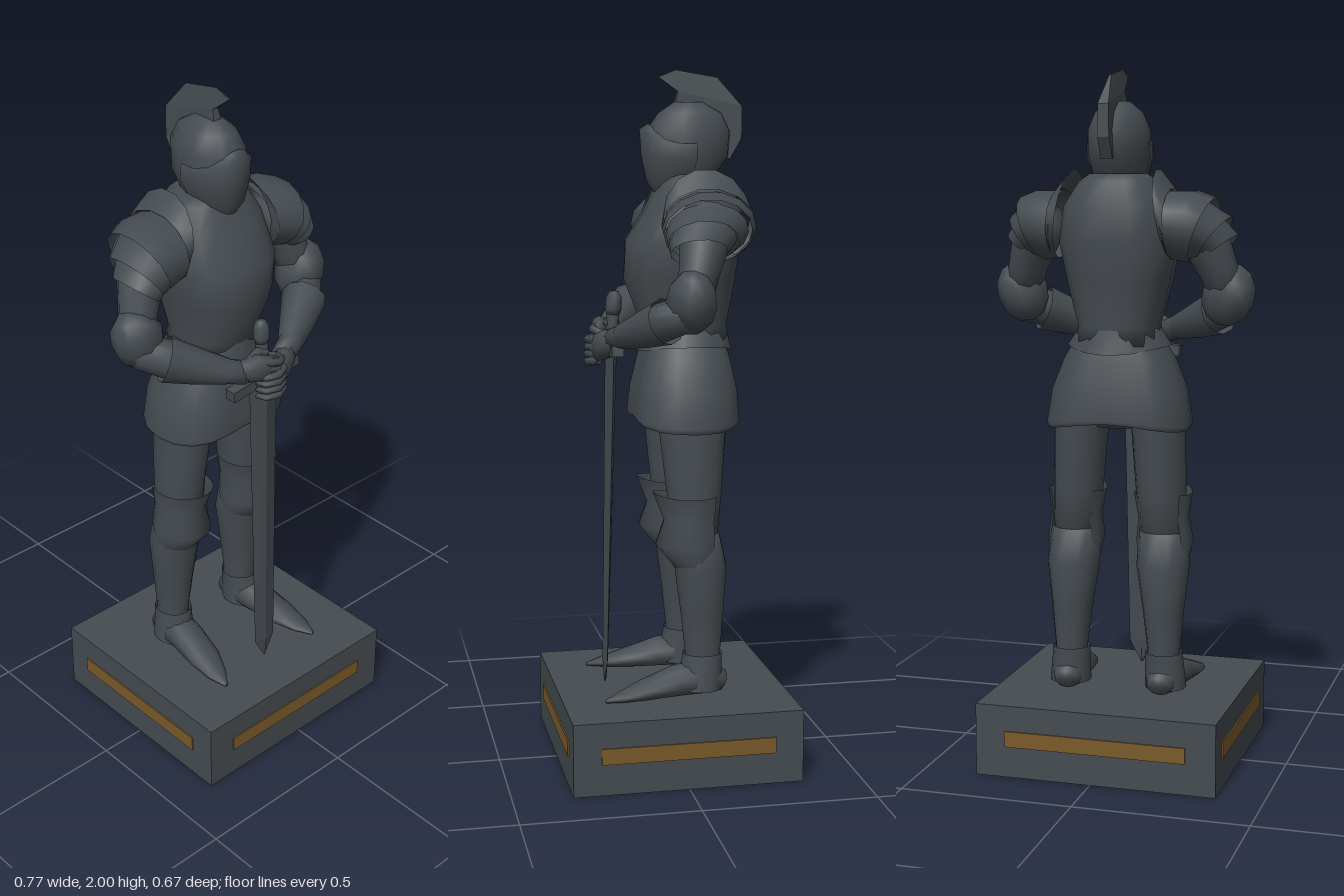
import * as THREE from 'three';

const steel = new THREE.MeshStandardMaterial({ color: 0x454b50, side: THREE.DoubleSide });
steel.name = 'dark steel';
const bronze = new THREE.MeshStandardMaterial({ color: 0x7a5a2a });
bronze.name = 'dull bronze';

const V = (x, y, z) => new THREE.Vector3(x, y, z);

function add(parent, name, geometry, material = steel) {
  const mesh = new THREE.Mesh(geometry, material);
  mesh.name = name;
  parent.add(mesh);
  return mesh;
}

// Skin a list of point rings; closed rings wrap around, caps close the ends.
function skin(rings, { closed = true, caps = true, flat = false } = {}) {
  const n = rings[0].length, pos = [], idx = [];
  rings.flat().forEach(p => pos.push(p.x, p.y, p.z));
  for (let j = 0; j < rings.length - 1; j++)
    for (let i = 0; i < (closed ? n : n - 1); i++) {
      const a = j * n + i, b = j * n + (i + 1) % n;
      idx.push(a, b, b + n, a, b + n, a + n);
    }
  if (closed && caps) {
    [rings[0], rings[rings.length - 1]].forEach((ring, end) => {
      const c = ring.reduce((s, p) => s.add(p), V(0, 0, 0)).divideScalar(n);
      const ci = pos.length / 3, o = end ? (rings.length - 1) * n : 0;
      pos.push(c.x, c.y, c.z);
      for (let i = 0; i < n; i++) {
        const a = o + i, b = o + (i + 1) % n;
        end ? idx.push(ci, a, b) : idx.push(ci, b, a);
      }
    });
  }
  let g = new THREE.BufferGeometry();
  g.setAttribute('position', new THREE.Float32BufferAttribute(pos, 3));
  g.setIndex(idx);
  if (flat) g = g.toNonIndexed();
  g.computeVertexNormals();
  return g;
}

// Upright loft, bottom to top: [y, cx, cz, halfWidth, front, back, frontLift]
function loft(sections, { n = 14, arc = Math.PI * 2, power = 1, notch = 0, ...rest } = {}) {
  const closed = arc > 6.28;
  const sp = v => Math.sign(v) * Math.abs(v) ** power;
  const rings = sections.map(([y, cx, cz, rx, rf, rb, lift = 0]) =>
    Array.from({ length: closed ? n : n + 1 }, (_, i) => {
      const a = closed ? (i / n) * arc : (i / n - 0.5) * arc;
      const c = Math.cos(a), s = Math.sin(a);
      return V(cx + rx * sp(s), y + lift * Math.abs(c) ** 3,
        cz + (c > 0 ? rf : rb) * sp(c) * (1 - notch * c ** 10));
    }));
  return skin(rings, { closed, ...rest });
}

// Tube of varying oval section along stations [x, y, z, radius, sideRadius]
function limb(st, { n = 10, ref = V(0, 1, 0), ...rest } = {}) {
  const p = st.map(q => V(q[0], q[1], q[2]));
  const rings = st.map((q, j) => {
    const t = p[Math.min(j + 1, p.length - 1)].clone().sub(p[Math.max(j - 1, 0)]).normalize();
    const A = ref.clone().addScaledVector(t, -ref.dot(t)).normalize();
    const B = t.clone().cross(A);
    return Array.from({ length: n }, (_, i) => {
      const a = (i / n) * Math.PI * 2;
      return p[j].clone().addScaledVector(A, Math.cos(a) * q[3])
        .addScaledVector(B, Math.sin(a) * (q[4] ?? q[3]));
    });
  });
  return skin(rings, rest);
}

function plinth(root) {
  const g = new THREE.Group();
  g.name = 'plinth';
  g.position.x = -0.012;
  root.add(g);
  // Hollow block, open underneath
  const box = new THREE.BoxGeometry(0.705, 0.21, 0.66);
  const index = Array.from(box.index.array);
  box.setIndex(index.filter((_, i) => i < 18 || i >= 24));
  box.clearGroups();
  add(g, 'plinthBlock', box).position.y = 0.105;
  for (const s of [-1, 1]) {
    add(g, 'plinthStripe', new THREE.BoxGeometry(0.53, 0.046, 0.008), bronze).position.set(0, 0.113, s * 0.33);
    add(g, 'plinthStripe', new THREE.BoxGeometry(0.008, 0.046, 0.5), bronze).position.set(s * 0.3525, 0.113, 0);
  }
}

function helmet(g) {
  add(g, 'helmet', loft([
    [1.64, 0, -0.035, 0.05, 0.05, 0.06], [1.69, 0, -0.045, 0.075, 0.085, 0.09],
    [1.76, 0, -0.06, 0.087, 0.115, 0.125], [1.83, 0, -0.06, 0.087, 0.115, 0.13],
    [1.88, 0, -0.06, 0.066, 0.08, 0.105], [1.91, 0, -0.06, 0.03, 0.035, 0.05]]));
  // Visor with a peaked brow
  add(g, 'visor', loft([
    [1.645, 0, -0.03, 0.035, 0.055, 0.05], [1.69, 0, -0.045, 0.073, 0.1, 0.09],
    [1.75, 0, -0.06, 0.092, 0.13, 0.12, 0.01], [1.79, 0, -0.06, 0.093, 0.135, 0.12, 0.045],
    [1.795, 0, -0.06, 0.084, 0.11, 0.11, 0.055]], { arc: 3.4 }));
  // Fin that narrows to a sharp edge at the top
  const fin = new THREE.Shape([[-0.02, 1.88], [-0.035, 1.94], [0.02, 1.98], [-0.03, 2], [-0.15, 1.98],
    [-0.22, 1.9], [-0.22, 1.81], [-0.185, 1.75], [-0.1, 1.8]].map(q => new THREE.Vector2(...q)));
  const geo = new THREE.ExtrudeGeometry(fin, { depth: 0.034, bevelEnabled: false });
  geo.translate(0, 0, -0.017).rotateY(-Math.PI / 2);
  const p = geo.attributes.position;
  for (let i = 0; i < p.count; i++)
    p.setX(i, p.getX(i) * THREE.MathUtils.clamp((2.0 - p.getY(i)) / 0.11, 0.08, 1));
  geo.computeVertexNormals();
  add(g, 'helmetCrest', geo);
}

function body(g) {
  const z = -0.055;
  add(g, 'breastplate', loft([
    [1.23, 0, z, 0.13, 0.125, 0.13], [1.28, 0, z, 0.115, 0.125, 0.122], [1.41, 0, z, 0.148, 0.177, 0.145],
    [1.52, 0, z, 0.17, 0.17, 0.158], [1.62, 0, z, 0.155, 0.105, 0.162], [1.69, 0, z, 0.11, 0.075, 0.125],
    [1.71, 0, z, 0.08, 0.06, 0.1]], { n: 16, power: 0.85 }));
  add(g, 'waistFlange', loft([[1.225, 0, z, 0.15, 0.14, 0.14, -0.02], [1.275, 0, z, 0.117, 0.127, 0.125]],
    { caps: false }));
  add(g, 'skirt', loft([
    [0.985, 0, z, 0.205, 0.17, 0.16, 0.025], [1.0, 0, z, 0.212, 0.178, 0.167, 0.02], [1.1, 0, z, 0.195, 0.168, 0.16],
    [1.19, 0, z, 0.158, 0.145, 0.14], [1.25, 0, z, 0.12, 0.12, 0.12]], { n: 20, caps: false, notch: 0.14, power: 0.9 }));
  add(g, 'hips', loft([[0.99, 0, z, 0.08, 0.06, 0.07], [1.05, 0, z, 0.17, 0.11, 0.11], [1.16, 0, z, 0.14, 0.12, 0.12]]));
}

function leg(g, s) {
  add(g, 'thigh', loft([
    [0.66, s * 0.132, -0.055, 0.066, 0.07, 0.07], [0.8, s * 0.125, -0.06, 0.072, 0.08, 0.08],
    [1.0, s * 0.115, -0.055, 0.078, 0.098, 0.1], [1.1, s * 0.105, -0.055, 0.08, 0.1, 0.1]]));
  add(g, 'greave', loft([
    [0.23, s * 0.14, -0.085, 0.05, 0.05, 0.052], [0.34, s * 0.14, -0.083, 0.047, 0.053, 0.052],
    [0.46, s * 0.138, -0.08, 0.06, 0.063, 0.065], [0.59, s * 0.135, -0.075, 0.077, 0.075, 0.078],
    [0.69, s * 0.132, -0.06, 0.07, 0.08, 0.072]]));
  add(g, 'kneeGuard', loft([
    [0.6, s * 0.134, -0.06, 0.072, 0.06, 0.06, -0.01], [0.66, s * 0.134, -0.055, 0.083, 0.11, 0.075],
    [0.73, s * 0.131, -0.055, 0.073, 0.085, 0.075], [0.8, s * 0.129, -0.055, 0.084, 0.118, 0.085, 0.012]], { arc: 4.6 }));
  add(g, 'ankleCuff', loft([[0.23, s * 0.145, -0.08, 0.06, 0.075, 0.057], [0.335, s * 0.14, -0.083, 0.054, 0.06, 0.057]],
    { caps: false }));
  add(g, 'foot', limb([
    [s * 0.14, 0.245, -0.142, 0.03, 0.035], [s * 0.142, 0.265, -0.09, 0.055, 0.056], [s * 0.15, 0.256, -0.005, 0.046, 0.054],
    [s * 0.163, 0.238, 0.09, 0.028, 0.05], [s * 0.176, 0.225, 0.16, 0.015, 0.032], [s * 0.184, 0.216, 0.21, 0.005, 0.005]]));
}

// Shoulder lames fan outward around the armpit: [lowX, lowY, highX, highY, backZ, frontZ]
function pauldron(g, s) {
  const lames = [
    [[0.165, 1.47, 0.122, 1.725, -0.215, 0.035], [0.17, 1.47, 0.165, 1.67, -0.225, 0.045]],
    [[0.17, 1.47, 0.15, 1.665, -0.22, 0.04], [0.2, 1.465, 0.23, 1.665, -0.215, 0.052], [0.215, 1.465, 0.285, 1.645, -0.195, 0.055]],
    [[0.2, 1.475, 0.255, 1.635, -0.19, 0.045], [0.232, 1.47, 0.322, 1.59, -0.15, 0.05]],
    [[0.215, 1.475, 0.295, 1.59, -0.15, 0.04], [0.245, 1.465, 0.338, 1.54, -0.115, 0.045]]];
  for (const lame of lames)
    add(g, 'shoulderLame', skin(lame.map(([lx, ly, hx, hy, z0, z1]) =>
      Array.from({ length: 14 }, (_, i) => {
        const a = (i / 14) * Math.PI * 2, c = Math.cos(a), k = Math.sin(a) / 2;
        return V(s * ((lx + hx) / 2 + (hx - lx) * k), (ly + hy) / 2 + (hy - ly) * k,
          (z0 + z1) / 2 - s * c * (z1 - z0) / 2);
      })), { caps: false }));
}

function arm(g, s) {
  add(g, 'upperArm', limb([
    [s * 0.2, 1.6, -0.075, 0.07], [s * 0.25, 1.53, -0.06, 0.07], [s * 0.285, 1.44, -0.035, 0.056],
    [s * 0.31, 1.36, -0.01, 0.055]], { ref: V(0, 0, 1) }));
  const elbow = add(g, 'elbowGuard', new THREE.SphereGeometry(1, 9, 6));
  elbow.position.set(s * 0.308, 1.37, -0.012);
  elbow.scale.set(0.077, 0.092, 0.072);
  elbow.rotation.z = -s * 0.35;
  add(g, 'forearm', limb([
    [s * 0.32, 1.34, 0, 0.05], [s * 0.25, 1.31, 0.06, 0.055], [s * 0.19, 1.285, 0.1, 0.046],
    [s * 0.12, 1.26, 0.145, 0.035], [s * 0.07, 1.245, 0.165, 0.034]]));
  add(g, 'gauntletCuff', limb([
    [s * 0.265, 1.315, 0.05, 0.066], [s * 0.19, 1.285, 0.1, 0.052], [s * 0.12, 1.26, 0.145, 0.037]], { caps: false }));
  // Hands fold over the hilt, the left one in front
  const y = s > 0 ? 1.215 : 1.245, z = s > 0 ? 0.208 : 0.195;
  add(g, 'hand', limb([
    [s * 0.09, 1.25, 0.16, 0.032, 0.03], [s * 0.05, y + 0.015, 0.185, 0.042, 0.028], [s * 0.005, y, z, 0.04, 0.022]]));
  for (let i = 0; i < 4; i++) {
    const fy = y + 0.03 - i * 0.021;
    add(g, 'finger', limb([
      [s * 0.03, fy, z + 0.004, 0.012], [-s * 0.005, fy - 0.006, z + 0.018, 0.013],
      [-s * 0.035, fy - 0.012, z + 0.003, 0.011], [-s * 0.045, fy - 0.014, z - 0.025, 0.008]], { n: 6 }));
  }
  add(g, 'thumb', limb([
    [s * 0.06, y + 0.035, 0.17, 0.014], [s * 0.02, y + 0.045, 0.16, 0.014], [-s * 0.005, y + 0.04, 0.175, 0.008]], { n: 6 }));
}

function sword(g) {
  add(g, 'blade', loft([
    [0.22, 0, 0.182, 0.003, 0.003, 0.003], [0.285, 0, 0.181, 0.038, 0.008, 0.008],
    [1.19, 0, 0.16, 0.052, 0.017, 0.017]], { n: 4, flat: true }));
  const guard = add(g, 'crossguard', new THREE.BoxGeometry(0.25, 0.032, 0.034));
  guard.position.set(0, 1.203, 0.16);
  guard.rotation.z = 0.12;
  add(g, 'grip', limb([[0, 1.18, 0.16, 0.018], [0, 1.335, 0.152, 0.019]], { n: 8, ref: V(0, 0, 1) }));
  add(g, 'pommel', limb([[0, 1.31, 0.153, 0.019], [0, 1.325, 0.152, 0.024], [0, 1.36, 0.15, 0.023],
    [0, 1.377, 0.149, 0.013]], { n: 8, ref: V(0, 0, 1) }));
}

export function createModel() {
  const root = new THREE.Group();
  root.name = 'armouredStatue';
  plinth(root);
  const figure = new THREE.Group();
  figure.name = 'armouredFigure';
  figure.position.x = -0.01;
  root.add(figure);
  helmet(figure);
  body(figure);
  sword(figure);
  for (const s of [-1, 1]) {
    leg(figure, s);
    pauldron(figure, s);
    arm(figure, s);
  }
  return root;
}
